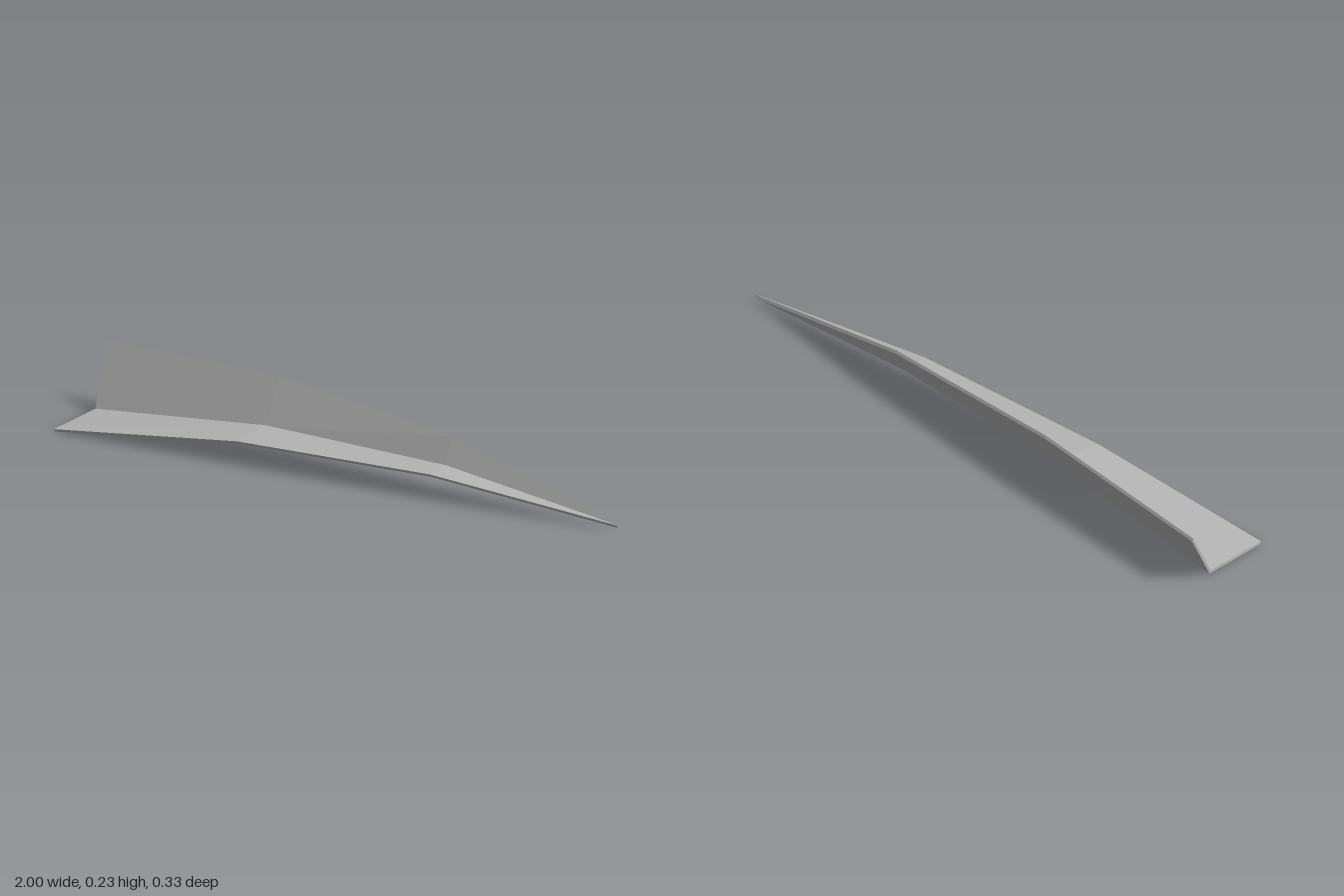
import * as THREE from 'three';

// Underside stations along the blade: [x, y, z] for front edge, crease and back edge
const STATIONS = [
  { front: [-0.975, 0.003, 0.158], crease: [-0.975, 0.008, -0.062], back: [-1.0, 0.201, -0.163] },
  { front: [-0.33, 0.07, 0.091], crease: [-0.33, 0.079, -0.062], back: [-0.33, 0.222, -0.133] },
  { front: [0.35, 0.075, 0.021], crease: [0.35, 0.081, -0.062], back: [0.35, 0.165, -0.099] },
  { front: [1.0, 0.012, -0.061], crease: [1.0, 0.012, -0.062], back: [1.0, 0.013, -0.063] },
];

// Closed V-shaped cross-section with a little sheet thickness
function section({ front, crease, back }) {
  const raise = ([x, y, z], dy = 0.009) => [x, y + dy, z + 0.005];
  return [raise(front), raise(crease, 0.011), raise(back), back, crease, front];
}

function bladeGeometry() {
  const loops = STATIONS.map(section);
  const positions = [];
  const quad = (a, b, c, d) => positions.push(...a, ...b, ...c, ...a, ...c, ...d);

  // Skin between neighbouring sections
  for (let s = 0; s < loops.length - 1; s++) {
    const p = loops[s], q = loops[s + 1];
    for (let i = 0; i < 6; i++) {
      const j = (i + 1) % 6;
      quad(p[i], q[i], q[j], p[j]);
    }
  }
  // Wide end and tip caps
  const [a, b] = [loops[0], loops[loops.length - 1]];
  quad(a[0], a[1], a[4], a[5]);
  quad(a[1], a[2], a[3], a[4]);
  quad(b[5], b[4], b[1], b[0]);
  quad(b[4], b[3], b[2], b[1]);

  const geometry = new THREE.BufferGeometry();
  geometry.setAttribute('position', new THREE.Float32BufferAttribute(positions, 3));
  geometry.computeVertexNormals();
  return geometry;
}

export function createModel() {
  const group = new THREE.Group();
  group.name = 'foldedBlade';
  const grey = new THREE.MeshStandardMaterial({ color: 0xb4b4b4 });
  grey.name = 'grey';
  grey.flatShading = true;

  // Folded, tapering blade
  const blade = new THREE.Mesh(bladeGeometry(), grey);
  blade.name = 'blade';
  group.add(blade);
  return group;
}
